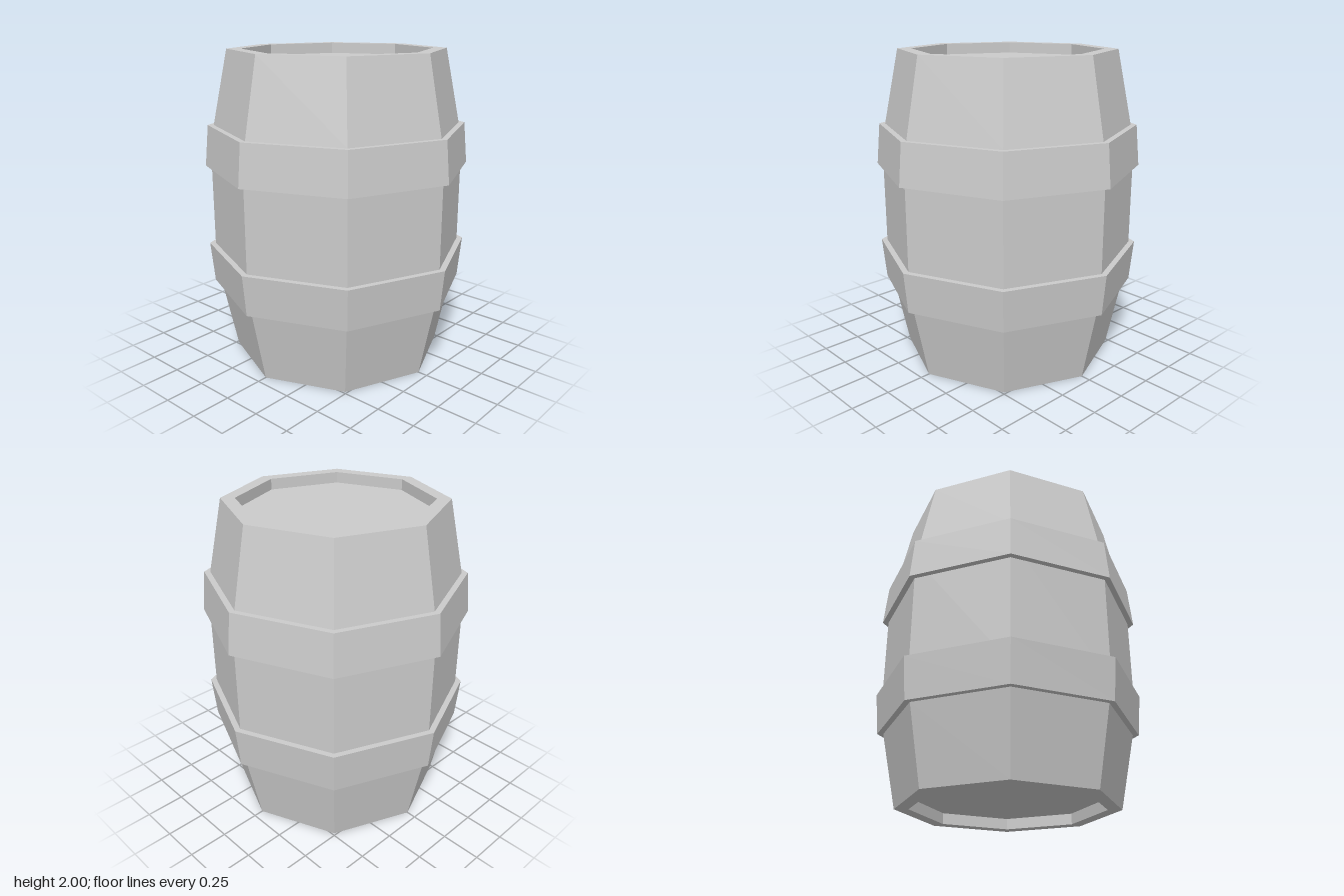
import * as THREE from 'three';

const SIDES = 8;
const HEIGHT = 2;
const material = new THREE.MeshStandardMaterial({ color: 0xcccccc, flatShading: true });

// Octagonal solid of revolution from [radius, y] pairs, listed bottom to top
function turned(name, profile) {
  const points = profile.map(([r, y]) => new THREE.Vector2(r, y));
  const mesh = new THREE.Mesh(new THREE.LatheGeometry(points, SIDES), material);
  mesh.name = name;
  return mesh;
}

// Mirror a profile about mid height, keeping the bottom-to-top order
const flip = (profile) => profile.map(([r, y]) => [r, HEIGHT - y]).reverse();

export function createModel() {
  const barrel = new THREE.Group();
  barrel.name = 'barrel';

  // Staves with a recessed head at each end
  const lowerHalf = [
    [0, 0.07], [0.6, 0.07], [0.6, 0],
    [0.688, 0], [0.787, 0.473], [0.812, 0.6],
  ];
  barrel.add(turned('body', [...lowerHalf, ...flip(lowerHalf)]));

  // Raised hoops, widest towards the middle, with edges sunk into the body
  const hoop = [[0.78, 0.473], [0.825, 0.473], [0.85, 0.736], [0.8, 0.736]];
  barrel.add(turned('lowerHoop', hoop));
  barrel.add(turned('upperHoop', flip(hoop)));

  return barrel;
}
